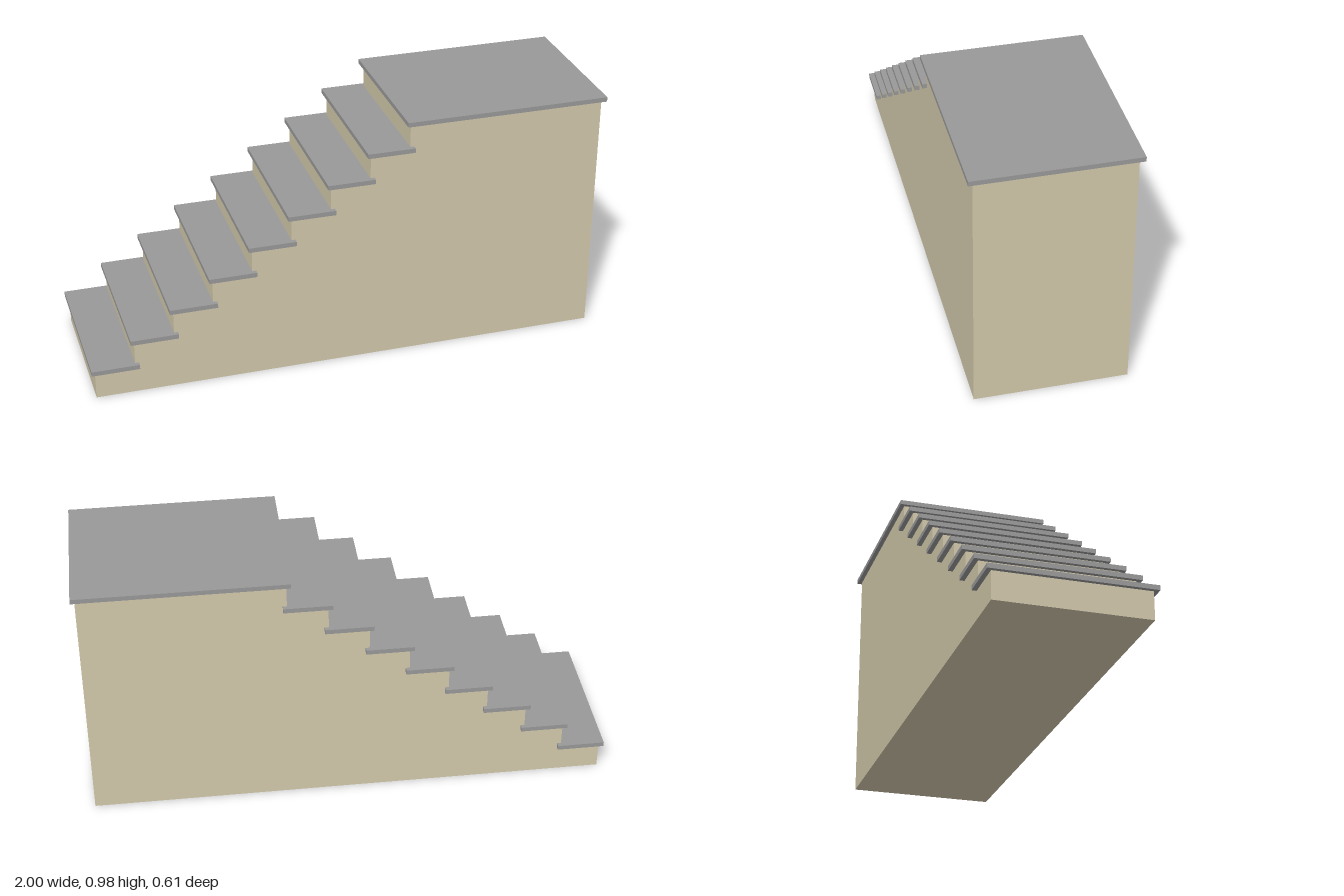
import * as THREE from 'three';

const STEPS = 8;          // treads below the landing
const RUN = 0.1519;       // horizontal distance between risers
const RISE = 0.1064;      // vertical distance between treads
const SLAB = 0.018;       // tread thickness
const NOSE = 0.015;       // tread overhang
const HALF_LENGTH = 0.985;
const BODY_DEPTH = 0.57;
const SLAB_DEPTH = 0.606;

export function createModel() {
  const group = new THREE.Group();
  group.name = 'staircase';
  const bodyMaterial = new THREE.MeshStandardMaterial({ color: 0xd2c8aa });
  const treadMaterial = new THREE.MeshStandardMaterial({ color: 0x999999 });

  // Solid stepped body, extruded across its width
  const profile = new THREE.Shape();
  profile.moveTo(HALF_LENGTH, 0);
  profile.lineTo(HALF_LENGTH, RISE * (STEPS + 1));
  for (let i = STEPS; i >= 0; i--) {
    const x = -HALF_LENGTH + RUN * i;
    profile.lineTo(x, RISE * (i + 1));
    profile.lineTo(x, RISE * i);
  }
  const bodyGeometry = new THREE.ExtrudeGeometry(profile, { depth: BODY_DEPTH, bevelEnabled: false });
  bodyGeometry.translate(0, 0, -BODY_DEPTH / 2);
  const body = new THREE.Mesh(bodyGeometry, bodyMaterial);
  body.name = 'stairBody';
  group.add(body);

  // Overhanging slab resting on the given step
  const addSlab = (name, step, x0, x1) => {
    const slab = new THREE.Mesh(new THREE.BoxGeometry(x1 - x0, SLAB, SLAB_DEPTH), treadMaterial);
    slab.name = name;
    slab.position.set((x0 + x1) / 2, RISE * (step + 1) + SLAB / 2, 0);
    group.add(slab);
  };

  // Treads, each tucked slightly behind the next riser
  for (let i = 0; i < STEPS; i++) {
    const riser = -HALF_LENGTH + RUN * i;
    addSlab(`tread${i + 1}`, i, riser - NOSE, riser + RUN + NOSE);
  }

  // Landing at the top
  addSlab('landing', STEPS, -HALF_LENGTH + RUN * STEPS - NOSE, HALF_LENGTH + NOSE);

  return group;
}
